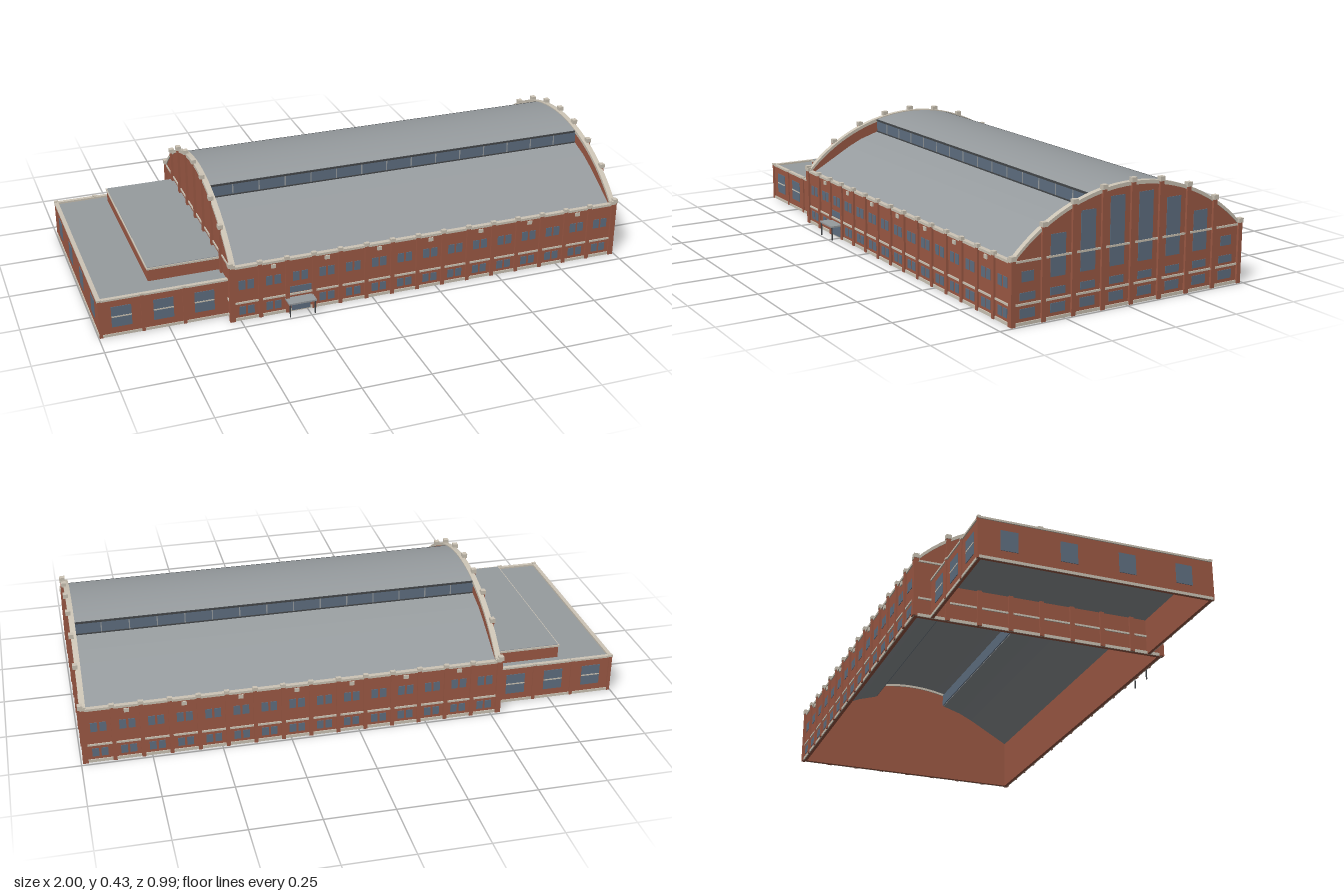
import * as THREE from 'three';

const mat = (name, color, side = THREE.FrontSide) => {
  const m = new THREE.MeshStandardMaterial({ color, side });
  m.name = name;
  return m;
};

export function createModel() {
  const root = new THREE.Group();
  root.name = 'archedHall';
  const brick = mat('brick', 0x9e5a45);
  const stone = mat('stoneTrim', 0xcdc5b6);
  const glass = mat('glass', 0x607082);
  const grey = mat('roofGrey', 0x979c9f, THREE.DoubleSide);
  const dark = mat('darkMetal', 0x45484b);

  // Box given by its limits on each axis
  const box = (name, m, x0, x1, y0, y1, z0, z1, parent = root) => {
    const g = new THREE.BoxGeometry(x1 - x0, y1 - y0, z1 - z0);
    g.translate((x0 + x1) / 2, (y0 + y1) / 2, (z0 + z1) / 2);
    const mesh = new THREE.Mesh(g, m);
    mesh.name = name;
    parent.add(mesh);
    return mesh;
  };
  // Box on a long side: a..b is the distance outward from wall plane z
  const sideBox = (name, m, x0, x1, y0, y1, z, s, a, b, parent) =>
    box(name, m, x0, x1, y0, y1, Math.min(z + s * a, z + s * b), Math.max(z + s * a, z + s * b), parent);
  const endBox = (name, m, x, s, a, b, y0, y1, z0, z1, parent) =>
    box(name, m, Math.min(x + s * a, x + s * b), Math.max(x + s * a, x + s * b), y0, y1, z0, z1, parent);

  // Hall dimensions
  const X0 = -0.53, X1 = 0.985, ZC = -0.018, HALF = 0.465, EAVE = 0.213;
  const R = 0.641, PEAK = 0.42;
  const arcY = (u) => PEAK - R + Math.sqrt(R * R - u * u);

  // Long side walls: piers, bands and paired windows in fifteen bays
  const BAYS = 15, pitch = (X1 - X0 - 0.008) / BAYS;
  for (const s of [1, -1]) {
    const wall = new THREE.Group();
    wall.name = s > 0 ? 'frontWall' : 'backWall';
    root.add(wall);
    const z = ZC + s * HALF;
    sideBox('brickWall', brick, X0, X1, 0, EAVE, z, s, -0.012, 0, wall);
    sideBox('baseBand', stone, X0, X1, 0, 0.011, z, s, 0, 0.004, wall);
    sideBox('middleBand', stone, X0, X1, 0.066, 0.073, z, s, 0, 0.004, wall);
    sideBox('topCoping', stone, X0, X1, 0.207, 0.216, z, s, -0.013, 0.004, wall);
    for (let i = 0; i <= BAYS; i++) {
      const x = X0 + 0.004 + i * pitch;
      sideBox('pier', brick, x - 0.007, x + 0.007, 0, 0.214, z, s, 0, 0.008, wall);
      sideBox('pierCap', stone, x - 0.009, x + 0.009, 0.214, 0.227, z, s, -0.004, 0.01, wall);
      if (i === BAYS) continue;
      const c = x + pitch / 2, entrance = s > 0 && i === 2;
      for (const d of [-0.016, 0.016]) {
        sideBox('upperWindow', glass, c + d - 0.012, c + d + 0.012, 0.122, 0.158, z, s, 0, 0.002, wall);
        if (!entrance)
          sideBox('lowerWindow', glass, c + d - 0.012, c + d + 0.012, 0.022, 0.054, z, s, 0, 0.002, wall);
      }
      if (i % 2) sideBox('wallVent', stone, c - 0.009, c + 0.009, 0.188, 0.202, z, s, 0, 0.005, wall);
      if (entrance) {
        sideBox('doors', glass, c - 0.035, c + 0.035, 0.004, 0.048, z, s, 0, 0.005, wall);
        sideBox('transomWindow', glass, c - 0.04, c + 0.04, 0.076, 0.1, z, s, 0, 0.003, wall);
      }
    }
  }

  // Entrance canopy on two posts
  box('canopy', grey, -0.333, -0.229, 0.051, 0.057, 0.447, 0.495);
  for (const x of [-0.328, -0.234]) box('canopyPost', dark, x - 0.002, x + 0.002, 0, 0.051, 0.488, 0.492);

  // Shape in (z, y) extruded along x, starting at x0
  const profile = (name, m, pts, x0, depth, parent) => {
    const g = new THREE.ExtrudeGeometry(new THREE.Shape(pts), { depth, bevelEnabled: false });
    g.rotateY(-Math.PI / 2);
    g.translate(x0 + depth, 0, 0);
    const mesh = new THREE.Mesh(g, m);
    mesh.name = name;
    parent.add(mesh);
  };
  const arc = (dy, n = 32) => Array.from({ length: n + 1 }, (_, i) => {
    const u = HALF - (2 * HALF * i) / n;
    return new THREE.Vector2(ZC + u, arcY(u) + dy);
  });

  // Arched end walls
  for (const s of [1, -1]) {
    const end = new THREE.Group();
    end.name = s > 0 ? 'leftEndWall' : 'rightEndWall';
    root.add(end);
    const x = s > 0 ? X1 : X0;
    const t = 0.012, inner = s > 0 ? x - t : x;
    profile('archedWall', brick, [
      new THREE.Vector2(ZC - HALF, 0), new THREE.Vector2(ZC + HALF, 0), ...arc(-0.004)], inner, t, end);
    profile('archCoping', stone, [...arc(0), ...arc(-0.013).reverse()], inner - 0.004, t + 0.008, end);
    for (const [a, b] of [[0, 0.011], [0.066, 0.073], [0.208, 0.215]])
      endBox('band', stone, x, s, 0, 0.004, a, b, ZC - HALF, ZC + HALF, end);
    const bay = (2 * HALF) / 8;
    for (let i = 0; i <= 8; i++) {
      const u = -HALF + i * bay, z = ZC + u, top = arcY(u) + 0.002;
      endBox('pier', brick, x, s, 0, 0.009, 0, top, z - 0.008, z + 0.008, end);
      endBox('pierCap', stone, x, s, -0.006, 0.012, top - 0.004, top + 0.012, z - 0.01, z + 0.01, end);
    }
    if (s < 0) continue;
    const tops = [0.178, 0.285, 0.347, 0.38];
    for (let i = 0; i < 8; i++) {
      const z = ZC - HALF + (i + 0.5) * bay, k = Math.min(i, 7 - i);
      const w = k ? 0.029 : 0.023;
      endBox('lowerWindow', glass, x, s, 0, 0.002, 0.023, 0.055, z - 0.029, z + 0.029, end);
      endBox('middleWindow', glass, x, s, 0, 0.002, 0.082, 0.108, z - 0.029, z + 0.029, end);
      endBox('tallWindow', glass, x, s, 0, 0.002, 0.143, tops[k], z - w, z + w, end);
    }
  }

  // Lower roof slopes, clerestory strips and raised curved roof
  const RX0 = X0 + 0.012, RX1 = X1 - 0.012, CL = 0.16;
  const slope = [[HALF - 0.01, 0.203], [0.29, 0.296], [0.235, 0.322], [CL - 0.002, 0.346]];
  for (const s of [1, -1]) {
    const roof = new THREE.Group();
    roof.name = s > 0 ? 'frontRoof' : 'backRoof';
    root.add(roof);
    const pts = [...slope, ...slope.map(([u, y]) => [u, y - 0.006]).reverse()];
    profile('lowerRoof', grey, pts.map(([u, y]) => new THREE.Vector2(ZC + s * u, y)), RX0, RX1 - RX0, roof);
    const z = ZC + s * CL;
    sideBox('clerestoryGlass', glass, RX0, RX1, 0.343, 0.392, z, s, -0.006, 0, roof);
    sideBox('clerestorySill', dark, RX0, RX1, 0.343, 0.349, z, s, 0, 0.003, roof);
    sideBox('roofEdge', dark, RX0, RX1, 0.389, 0.396, z, s, -0.004, 0.004, roof);
    for (let i = 1; i < BAYS; i++) {
      const x = X0 + i * pitch;
      sideBox('mullion', grey, x - 0.002, x + 0.002, 0.349, 0.389, z, s, 0, 0.002, roof);
    }
  }
  const crown = new THREE.PlaneGeometry(RX1 - RX0, 2 * CL + 0.008, 1, 12);
  crown.rotateX(-Math.PI / 2);
  const p = crown.attributes.position;
  for (let i = 0; i < p.count; i++) p.setY(i, arcY(p.getZ(i)) - 0.0035);
  crown.translate((RX0 + RX1) / 2, 0, ZC);
  crown.computeVertexNormals();
  const crownMesh = new THREE.Mesh(crown, grey);
  crownMesh.name = 'raisedRoof';
  root.add(crownMesh);

  // Low flat-roofed annex
  const annex = new THREE.Group();
  annex.name = 'annex';
  root.add(annex);
  const AX = -0.995, AF = 0.4, AB = -0.425;
  box('annexRoof', grey, AX + 0.005, X0, 0.134, 0.141, AB + 0.005, AF - 0.005, annex);
  for (const [z, s] of [[AF, 1], [AB, -1]]) {
    sideBox('annexSideWall', brick, AX, X0, 0, 0.143, z, s, -0.01, 0, annex);
    sideBox('annexBase', stone, AX, X0, 0, 0.01, z, s, 0, 0.003, annex);
    sideBox('annexCoping', stone, AX - 0.004, X0, 0.141, 0.148, z, s, -0.011, 0.004, annex);
    for (const x of [AX + 0.004, -0.84, -0.69]) {
      sideBox('annexPier', brick, x - 0.006, x + 0.006, 0, 0.144, z, s, 0, 0.005, annex);
      sideBox('annexPierCap', stone, x - 0.008, x + 0.008, 0.144, 0.151, z, s, -0.006, 0.006, annex);
    }
    for (const x of [-0.915, -0.765, -0.617]) {
      sideBox('annexWindow', glass, x - 0.036, x + 0.036, 0.035, 0.115, z, s, 0, 0.002, annex);
      sideBox('windowBar', stone, x - 0.036, x + 0.036, 0.073, 0.078, z, s, 0, 0.003, annex);
    }
  }
  endBox('annexEndWall', brick, AX, -1, -0.01, 0, 0, 0.143, AB, AF, annex);
  endBox('annexEndBase', stone, AX, -1, 0, 0.003, 0, 0.01, AB, AF, annex);
  endBox('annexEndCoping', stone, AX, -1, -0.011, 0.004, 0.141, 0.148, AB, AF, annex);
  for (let i = 0; i < 4; i++) {
    const z = AB + ((i + 0.5) * (AF - AB)) / 4;
    endBox('annexEndWindow', glass, AX, -1, 0, 0.002, 0.04, 0.112, z - 0.03, z + 0.03, annex);
  }

  // Raised block on the annex roof
  box('upperBlock', brick, -0.797, X0, 0.141, 0.188, -0.38, 0.31, annex);
  box('upperBlockTrim', stone, -0.8, X0, 0.186, 0.193, -0.383, 0.313, annex);
  box('upperBlockRoof', grey, -0.796, X0, 0.19, 0.195, -0.379, 0.309, annex);

  return root;
}
